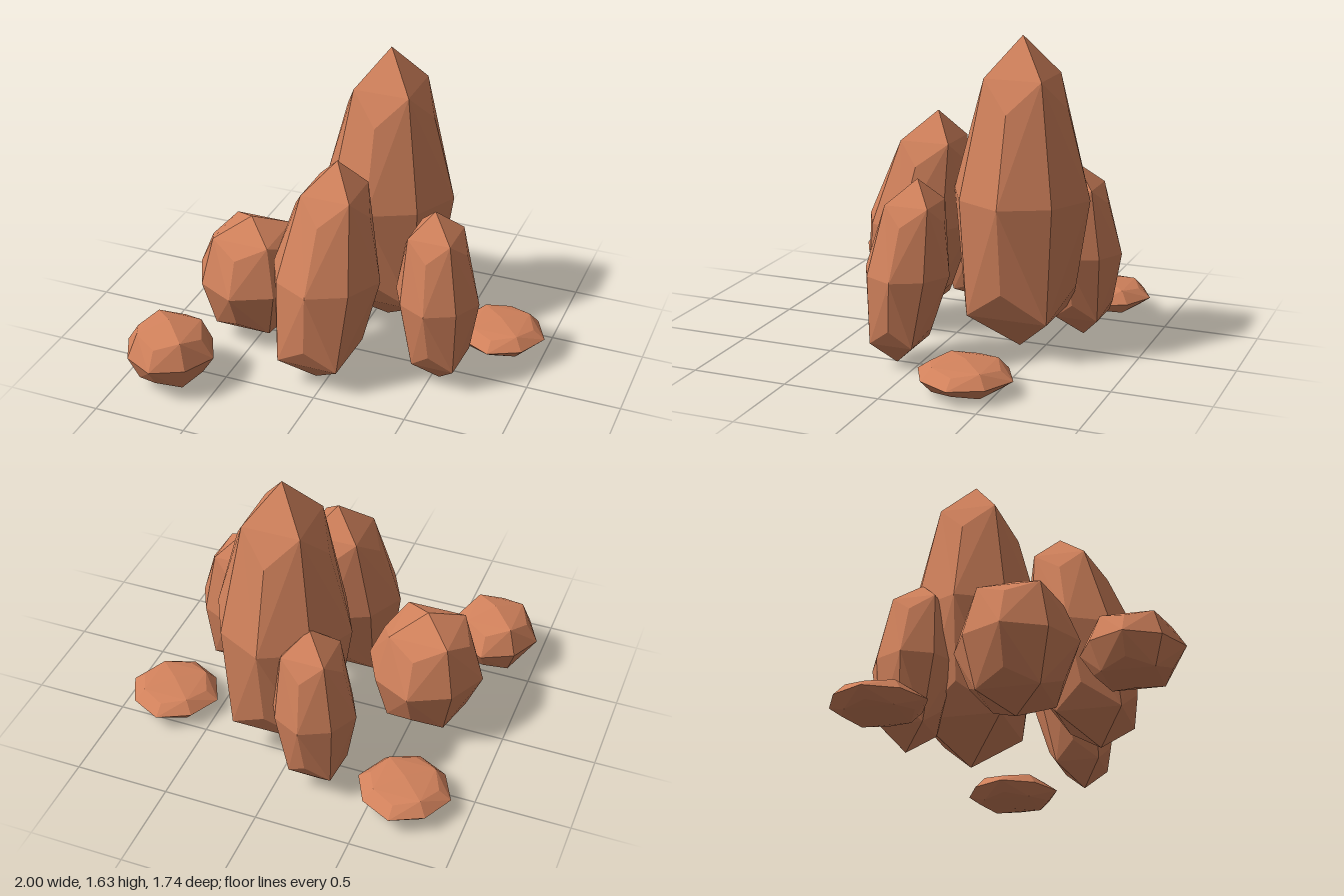
import * as THREE from 'three';
import { ConvexGeometry } from 'three/addons/geometries/ConvexGeometry.js';

const mean = (pts) => pts.reduce((a, p) => a.add(p), new THREE.Vector3()).divideScalar(pts.length);

// A tapered, leaning block with its corners on the x and z axes, rounded off once
// into 24 four-sided facets. bottom / top: [x, y, z, corner radius].
function facetedStone(bottom, top) {
  const corner = (sx, sy, sz) => {
    const [x, y, z, r] = sy > 0 ? top : bottom;
    return new THREE.Vector3(x + r * (sx + sz) / 2, y, z + r * (sz - sx) / 2);
  };
  // Mean of the block corners matching a sign pattern; 0 matches both signs
  const middle = (s) => {
    const pts = [];
    for (const x of s[0] ? [s[0]] : [-1, 1])
      for (const y of s[1] ? [s[1]] : [-1, 1])
        for (const z of s[2] ? [s[2]] : [-1, 1]) pts.push(corner(x, y, z));
    return mean(pts);
  };
  const points = [];
  for (const x of [-1, 0, 1]) for (const y of [-1, 0, 1]) for (const z of [-1, 0, 1]) {
    const s = [x, y, z];
    const axes = [0, 1, 2].filter((i) => s[i]);
    if (!axes.length) continue;
    const faces = mean(axes.map((i) => middle(s.map((v, j) => (j === i ? v : 0)))));
    if (axes.length === 1) points.push(faces);
    else if (axes.length === 2) points.push(mean([middle(s), faces]));
    else {
      const edges = mean(axes.map((i) => middle(s.map((v, j) => (j === i ? 0 : v)))));
      points.push(mean([faces, edges, edges]));
    }
  }
  return new ConvexGeometry(points);
}

export function createModel() {
  const group = new THREE.Group();
  const clay = new THREE.MeshStandardMaterial({ color: 0xd2825c, flatShading: true });
  clay.name = 'clayStone';

  const stones = [
    // Tall standing stones
    ['tallSpire', [0.08, 0.015, -0.385, 0.61], [0.08, 1.635, -0.385, 0.36]],
    ['frontSpire', [-0.06, 0.01, 0.32, 0.46], [-0.02, 1.2, 0.11, 0.33]],
    ['leftSpire', [0.55, 0.02, 0.1, 0.302], [0.475, 0.96, 0.015, 0.302]],
    ['backSpire', [-0.2, 0.02, -0.64, 0.302], [-0.14, 0.96, -0.6, 0.302]],
    // Boulder and low rocks
    ['boulder', [-0.55, 0.02, 0.02, 0.418], [-0.55, 0.72, 0.02, 0.418]],
    ['frontRock', [-0.755, 0.02, 0.62, 0.33], [-0.755, 0.38, 0.62, 0.33]],
    ['backFlatRock', [-0.66, 0.02, -0.625, 0.33], [-0.66, 0.185, -0.625, 0.33]],
    ['leftFlatRock', [0.747, 0.005, -0.345, 0.33], [0.747, 0.17, -0.345, 0.33]],
  ];
  for (const [name, bottom, top] of stones) {
    const mesh = new THREE.Mesh(facetedStone(bottom, top), clay);
    mesh.name = name;
    group.add(mesh);
  }
  return group;
}
